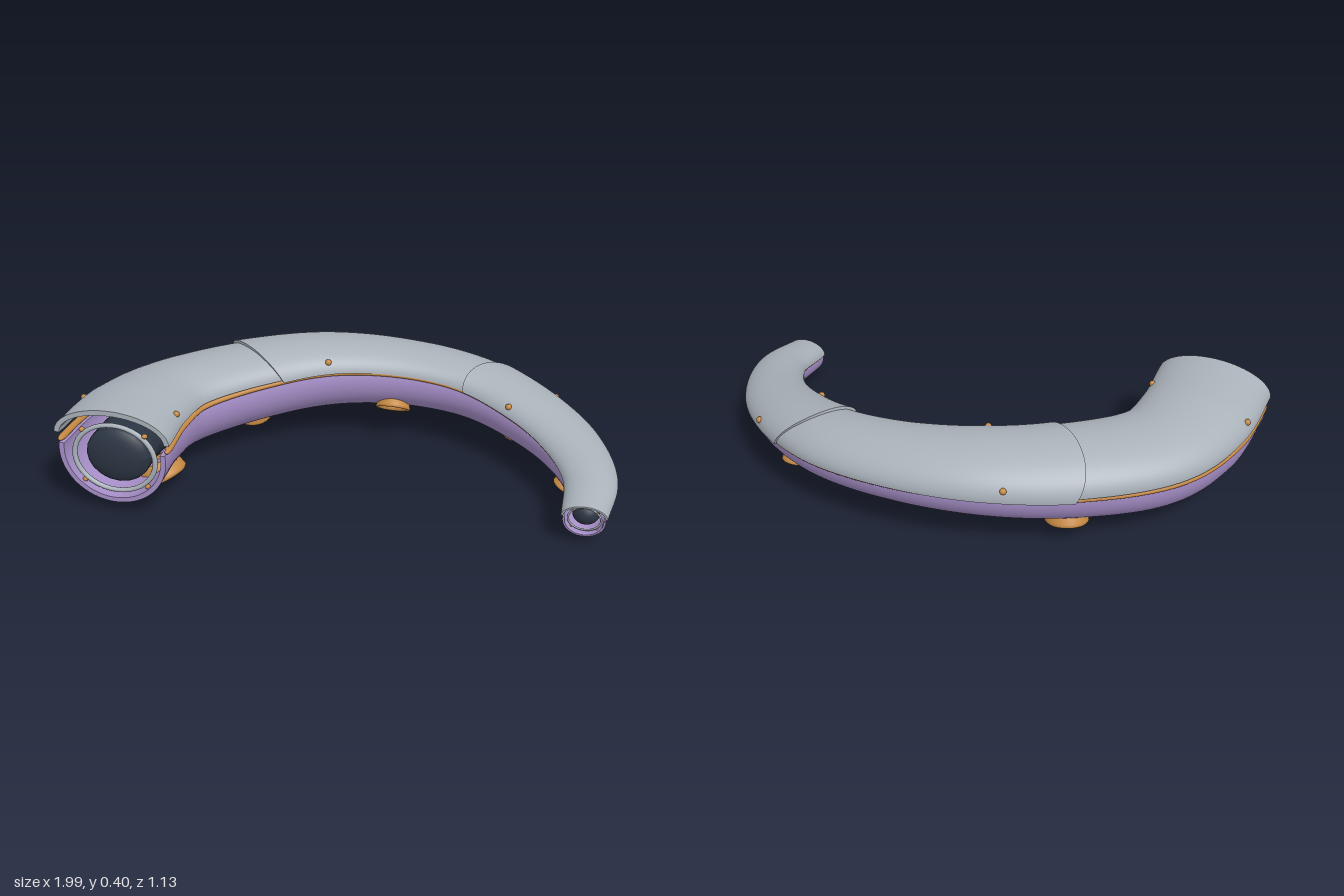
import * as THREE from 'three';

// Centreline stations from the wide end to the tip: x, y, z, half-width
const STATIONS = [
  [-0.785, 0.215, 0.20, 0.217], [-0.71, 0.212, -0.02, 0.21], [-0.583, 0.212, -0.20, 0.192],
  [-0.28, 0.23, -0.345, 0.178], [0.015, 0.245, -0.40, 0.165], [0.31, 0.24, -0.365, 0.15],
  [0.56, 0.22, -0.26, 0.14], [0.74, 0.185, -0.09, 0.13], [0.86, 0.148, 0.11, 0.117],
  [0.897, 0.118, 0.33, 0.098], [0.84, 0.085, 0.525, 0.08],
];
const path = new THREE.CatmullRomCurve3(STATIONS.map(s => new THREE.Vector3(s[0], s[1], s[2])));
const UP = new THREE.Vector3(0, 1, 0);

// Local frame: side points to the outside of the bend, up over the crown
function frame(t) {
  t = THREE.MathUtils.clamp(t, 0, 1);
  const i = Math.min(9, Math.floor(t * 10));
  const hw = THREE.MathUtils.lerp(STATIONS[i][3], STATIONS[i + 1][3], t * 10 - i);
  const tangent = path.getTangent(t);
  const side = UP.clone().cross(tangent).normalize();
  const up = tangent.clone().cross(side);
  const roll = 0.15 * Math.sin(Math.PI * t);
  side.applyAxisAngle(tangent, -roll);
  up.applyAxisAngle(tangent, -roll);
  return { p: path.getPoint(t), tangent, side, up, hw };
}

// Point on the section at t, with x and y in half-widths
function at(t, x, y) {
  const f = frame(t);
  return f.p.addScaledVector(f.side, x * f.hw).addScaledVector(f.up, y * f.hw);
}

function remap(geo, fn) {
  const pos = geo.attributes.position;
  for (let i = 0; i < pos.count; i++) {
    const v = fn(pos.getX(i), pos.getY(i), pos.getZ(i));
    pos.setXYZ(i, v.x, v.y, v.z);
  }
  geo.computeVertexNormals();
  return geo;
}

// Thick curved plate: fn(along, depth, around), each 0..1
function shell(nu, nv, fn) {
  return remap(new THREE.BoxGeometry(1, 1, 1, nu, 1, nv),
    (x, y, z) => fn(x + 0.5, y + 0.5, z + 0.5));
}

// Round-ended rod following the path at a section offset
function rod(cx, cy, rx, ry, t0, t1) {
  return remap(new THREE.CapsuleGeometry(1, 50, 8, 20, 90), (x, y, z) =>
    at(t0 + (t1 - t0) * (y / 52 + 0.5), cx + x * rx, cy - z * ry));
}

export function createModel() {
  const group = new THREE.Group();
  const mat = (name, color) => Object.assign(new THREE.MeshStandardMaterial({ color }), { name });
  const grey = mat('armourGrey', 0xa9b1b9);
  const purple = mat('skinPurple', 0xa68fc8);
  const bronze = mat('bronze', 0xc48843);
  const dark = mat('coreDark', 0x2b3543);
  const add = (name, geo, material) => {
    const mesh = new THREE.Mesh(geo, material);
    mesh.name = name;
    group.add(mesh);
    return mesh;
  };

  // Lower trough
  add('lowerShell', shell(120, 40, (u, w, v) => {
    const a = Math.PI - 0.14 + v * (Math.PI + 0.28);
    const r = 0.84 + 0.09 * w;
    return at(u, r * Math.cos(a), 0.93 * r * Math.sin(a));
  }), purple);

  // Inner core
  add('core', rod(0, -0.12, 0.56, 0.5, 0.008, 0.992), dark);

  // Overlapping top plates: start, end, crown bulge, skew, flare, base height, plate height
  const plates = [
    { t0: 0, t1: 0.34, bulge: 0, skew: 0, flare: 0, base: 0.3, rise: 0.5 },
    { t0: 0.315, t1: 0.67, bulge: 0.02, skew: -0.01, flare: 0.07, base: 0.17, rise: 0.61 },
    { t0: 0.635, t1: 1, bulge: 0.016, skew: 0.025, flare: 0.07, base: 0.17, rise: 0.61 },
  ];
  const plateAt = (p, t, a, w) => {
    const k = (t - p.t0) / (p.t1 - p.t0);
    const s = 1 + p.flare * (1 - k) ** 2 - 0.09 * (1 - w);
    const sag = p.base > 0.2 ? 0.1 * k : 0;
    return at(t, s * Math.cos(a), p.base - sag + (p.rise + sag + s - 1) * Math.sin(a));
  };
  const rivetSpots = [[0.09, 0.07], [0.375, 0.395], [0.71, 0.7]];
  plates.forEach((p, i) => {
    add('topPlate' + (i + 1), shell(60, 36, (u, w, v) => {
      const a = Math.PI * v;
      const start = p.t0 - p.bulge * Math.sin(a) + p.skew * Math.cos(a);
      return plateAt(p, start + (p.t1 - start) * u, a, w);
    }), grey);
    // One rivet on each flank
    rivetSpots[i].forEach((t, j) => {
      const a = j ? Math.PI - 0.42 : 0.42;
      add('rivet', new THREE.SphereGeometry(0.012, 14, 10), bronze).position.copy(plateAt(p, t, a, 1));
    });
  });

  // Seam strips along both edges
  for (const s of [-1, 1]) add('seamStrip', rod(s * 0.93, 0.15, 0.06, 0.055, 0.002, 0.998), bronze);

  // Collars inside both open ends, with small bolts
  for (const t of [0.01, 0.99]) {
    const f = frame(t);
    const collar = new THREE.Group();
    collar.name = 'endCollar';
    const ring = new THREE.Mesh(new THREE.TorusGeometry(0.7, 0.045, 10, 40), grey);
    ring.name = 'collarRing';
    collar.add(ring);
    for (let k = 0; k < 4; k++) {
      const a = Math.PI * (k / 2 + 0.25);
      const bolt = new THREE.Mesh(new THREE.SphereGeometry(0.05, 10, 8), bronze);
      bolt.name = 'collarBolt';
      bolt.position.set(0.77 * Math.cos(a), 0.77 * Math.sin(a), 0);
      collar.add(bolt);
    }
    collar.quaternion.setFromRotationMatrix(new THREE.Matrix4().makeBasis(f.side, f.up, f.tangent));
    collar.position.copy(at(t, 0, -0.1));
    collar.scale.set(f.hw, f.hw * 0.85, f.hw);
    group.add(collar);
  }

  // Suction rings, alternating between inner and outer flank
  const profile = [[0.65, -0.45], [0.82, -0.45], [0.98, 0.12], [1, 0.22], [0.94, 0.3], [0.84, 0.28],
    [0.74, 0.1], [0.65, -0.45]].map(q => new THREE.Vector2(q[0], q[1]));
  [0.1, 0.3, 0.49, 0.68, 0.85].forEach((t, i) => {
    const f = frame(t);
    const tilt = i % 2 ? 0.4 : -0.45;
    const out = f.side.clone().multiplyScalar(Math.sin(tilt)).addScaledVector(f.up, -Math.cos(tilt));
    const cup = add('suctionRing', new THREE.LatheGeometry(profile, 36), bronze);
    cup.position.copy(at(t, 0.93 * Math.sin(tilt), -0.87 * Math.cos(tilt)));
    cup.quaternion.setFromUnitVectors(UP, out);
    cup.scale.setScalar(0.44 * f.hw);
  });

  // Rest on the ground
  group.position.y = -new THREE.Box3().setFromObject(group, true).min.y;
  return group;
}
